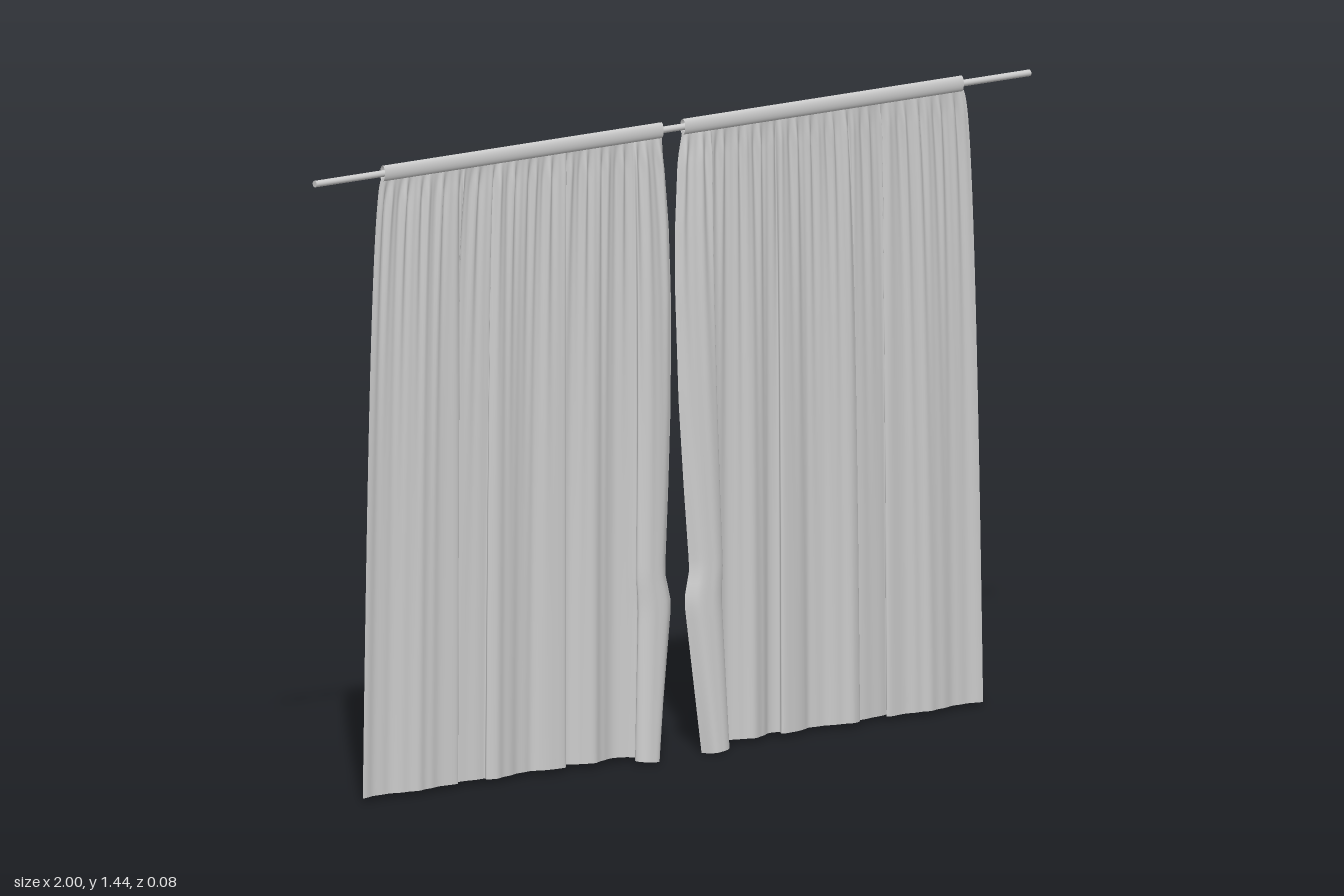
import * as THREE from 'three';

const ROD_Y = 1.42, ROD_Z = -0.023, TOP = 1.41;
const cloth = new THREE.MeshStandardMaterial({ color: 0xcccccc, side: THREE.DoubleSide });
const metal = new THREE.MeshStandardMaterial({ color: 0xcccccc });

// Pleat line of one panel, inner edge to outer edge: x at the hem, z at the hem, x at the gathered top
const pleats = new THREE.CatmullRomCurve3([
  [0.06, 0.008, 0.03], [0.08, 0.032, 0.05], [0.105, 0.036, 0.075], [0.13, 0.014, 0.1],
  [0.112, -0.008, 0.115], [0.135, -0.026, 0.135], [0.175, -0.03, 0.165], [0.22, -0.014, 0.21],
  [0.255, -0.022, 0.24], [0.28, -0.038, 0.265], [0.308, -0.03, 0.288], [0.302, -0.018, 0.296],
  [0.335, -0.013, 0.32], [0.37, -0.024, 0.345], [0.4, -0.031, 0.375], [0.45, -0.022, 0.42],
  [0.5, -0.011, 0.468], [0.523, -0.017, 0.488], [0.52, -0.027, 0.495], [0.56, -0.03, 0.525],
  [0.615, -0.038, 0.57], [0.6, -0.022, 0.585], [0.66, -0.02, 0.62], [0.72, -0.012, 0.68],
  [0.77, -0.022, 0.725], [0.81, -0.028, 0.76], [0.868, -0.02, 0.81],
].map(p => new THREE.Vector3(...p)), false, 'centripetal');

// Outline of the inner edge: [height, x]
const innerEdge = [[0, 0.06], [0.2, 0.036], [0.35, 0.018], [0.42, 0.034], [0.6, 0.022],
  [0.8, 0.011], [1.05, 0.006], [1.2, 0.009], [1.33, 0.018], [1.42, 0.03]];

function innerX(y) {
  const i = Math.max(1, innerEdge.findIndex(p => p[0] >= y));
  const [y0, x0] = innerEdge[i - 1], [y1, x1] = innerEdge[i];
  return THREE.MathUtils.lerp(x0, x1, (y - y0) / (y1 - y0));
}

// Hanging cloth: pleats grow from the flat top to the hem, with fine gathers below the sleeve
function panelGeometry(side) {
  const cols = 320, rows = 64;
  const geo = new THREE.PlaneGeometry(1, 1, cols, rows);
  const pos = geo.attributes.position;
  for (let j = 0; j <= rows; j++) {
    const t = Math.pow(j / rows, 1.3);
    const spread = Math.pow(t, 0.4);
    for (let i = 0; i <= cols; i++) {
      const p = pleats.getPoint(i / cols);
      const nearInner = THREE.MathUtils.clamp(1 - (p.z - 0.03) / 0.1, 0, 1);
      const y = THREE.MathUtils.lerp(TOP, 0.01 - 0.01 * nearInner, t);
      // the inner corner sweeps forward more slowly than the pleats deepen
      const depth = THREE.MathUtils.lerp(Math.pow(t, 0.5), Math.pow(t, 1.2), nearInner);
      let x = THREE.MathUtils.lerp(p.z, p.x, spread);
      x += (innerX(Math.max(y, 0)) - THREE.MathUtils.lerp(0.03, 0.06, spread)) * nearInner;
      const gather = Math.min(1, t * 25) * Math.exp(-t * 5);
      const fine = Math.sin(p.z * 190) + 0.6 * Math.sin(p.z * 317 + 1.3);
      const z = ROD_Z + (p.y - ROD_Z) * depth + 0.0055 * gather * fine
        + 0.0015 * spread * Math.sin(p.z * 150 + 0.7);
      pos.setXYZ(j * (cols + 1) + i, side * x, y, z);
    }
  }
  if (side < 0) { // keep the winding facing forward after mirroring
    const index = geo.index;
    for (let k = 0; k < index.count; k += 3) {
      const a = index.getX(k);
      index.setX(k, index.getX(k + 1));
      index.setX(k + 1, a);
    }
  }
  geo.computeVertexNormals();
  return geo;
}

function tube(radius, length, material, name, open) {
  const mesh = new THREE.Mesh(new THREE.CylinderGeometry(radius, radius, length, 20, 1, open), material);
  mesh.geometry.rotateZ(Math.PI / 2);
  mesh.position.set(0, ROD_Y, ROD_Z);
  mesh.name = name;
  return mesh;
}

export function createModel() {
  const model = new THREE.Group();
  model.name = 'curtains';
  model.add(tube(0.0075, 2, metal, 'rod', false));

  for (const side of [1, -1]) {
    const curtain = new THREE.Group();
    curtain.name = side > 0 ? 'leftCurtain' : 'rightCurtain';
    const panel = new THREE.Mesh(panelGeometry(side), cloth);
    panel.name = 'panel';
    // Flattened cloth sleeve around the rod
    const sleeve = tube(1, 0.78, cloth, 'rodSleeve', true);
    sleeve.scale.set(1, 0.018, 0.009);
    sleeve.position.x = side * 0.42;
    curtain.add(panel, sleeve);
    model.add(curtain);
  }
  return model;
}
